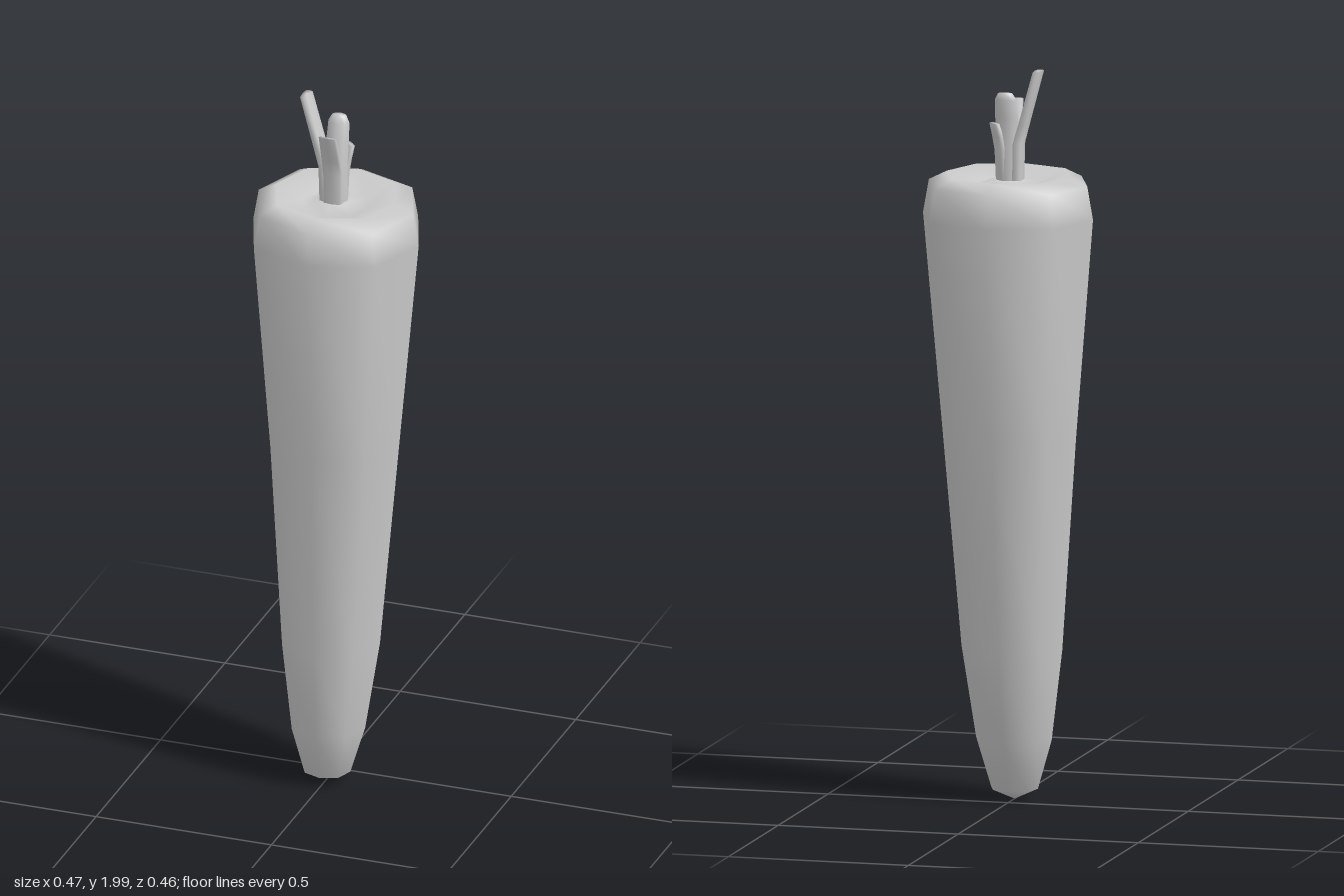
import * as THREE from 'three';
import { mergeVertices } from 'three/addons/utils/BufferGeometryUtils.js';

const SIDES = 8;
const material = new THREE.MeshStandardMaterial({ color: 0xcccccc });

// Smooth eight-sided loft through rings [x, y, z, radiusX, radiusZ], listed bottom to top.
// A ring of zero radius closes the end.
function loft(name, rings, diagonal = 1) {
  const positions = [];
  const index = [];
  rings.forEach(([x, y, z, rx, rz], r) => {
    for (let i = 0; i < SIDES; i++) {
      const a = (i / SIDES) * Math.PI * 2;
      const k = i % 2 ? diagonal : 1;
      positions.push(x + Math.cos(a) * rx * k, y, z + Math.sin(a) * rz * k);
      if (r === 0) continue;
      const j = (i + 1) % SIDES;
      const low = (r - 1) * SIDES;
      const high = r * SIDES;
      index.push(low + i, high + i, high + j, low + i, high + j, low + j);
    }
  });
  let geometry = new THREE.BufferGeometry();
  geometry.setAttribute('position', new THREE.Float32BufferAttribute(positions, 3));
  geometry.setIndex(index);
  geometry = mergeVertices(geometry, 1e-5);
  geometry.computeVertexNormals();
  const mesh = new THREE.Mesh(geometry, material);
  mesh.name = name;
  return mesh;
}

export function createModel() {
  const group = new THREE.Group();
  group.name = 'carrot';

  // Root: tapers and bends forward to a blunt tip, with a dished crown
  group.add(loft('root', [
    [0, 0.005, 0.065, 0, 0],
    [0, 0.035, 0.065, 0.065, 0.065],
    [0, 0.17, 0.058, 0.105, 0.103],
    [0, 0.42, 0.038, 0.14, 0.138],
    [0, 1.0, 0.013, 0.185, 0.173],
    [0, 1.6, -0.001, 0.236, 0.229],
    [0, 1.69, 0, 0.22, 0.212],
    [0, 1.715, 0, 0.17, 0.165],
    [0, 1.685, 0, 0.09, 0.09],
    [0, 1.7, 0, 0.045, 0.045],
    [0, 1.7, 0, 0, 0],
  ], 1.035));

  const stems = new THREE.Group();
  stems.name = 'stems';
  group.add(stems);

  // Thick middle stem, leaning back with a rounded end
  stems.add(loft('middleStem', [
    [0, 1.68, 0, 0.034, 0.032],
    [0, 1.8, -0.002, 0.032, 0.028],
    [0, 1.87, -0.014, 0.032, 0.024],
    [0, 1.92, -0.024, 0.03, 0.019],
    [0, 1.938, -0.028, 0.02, 0.012],
    [0, 1.94, -0.028, 0, 0],
  ]));

  // Tall flat stem leaning to the right
  stems.add(loft('rightStem', [
    [-0.025, 1.68, 0, 0.016, 0.028],
    [-0.03, 1.8, 0, 0.014, 0.028],
    [-0.044, 1.85, 0, 0.013, 0.028],
    [-0.084, 1.997, 0, 0.012, 0.028],
    [-0.084, 1.999, 0, 0, 0],
  ], 1.15));

  // Flat stem leaning forward
  stems.add(loft('frontStem', [
    [0, 1.68, 0.022, 0.027, 0.014],
    [0, 1.78, 0.025, 0.027, 0.012],
    [0, 1.83, 0.038, 0.027, 0.009],
    [0, 1.91, 0.066, 0.025, 0.005],
    [0, 1.911, 0.066, 0, 0],
  ], 1.15));

  // Short stem at the back left, turned to face the diagonal
  const backStem = loft('backLeftStem', [
    [0.016, 1.68, 0, 0.014, 0.02],
    [0.022, 1.78, 0, 0.013, 0.02],
    [0.032, 1.82, 0, 0.01, 0.02],
    [0.042, 1.855, 0, 0.008, 0.02],
    [0.042, 1.856, 0, 0, 0],
  ], 1.15);
  backStem.rotation.y = Math.PI / 4;
  stems.add(backStem);

  return group;
}
